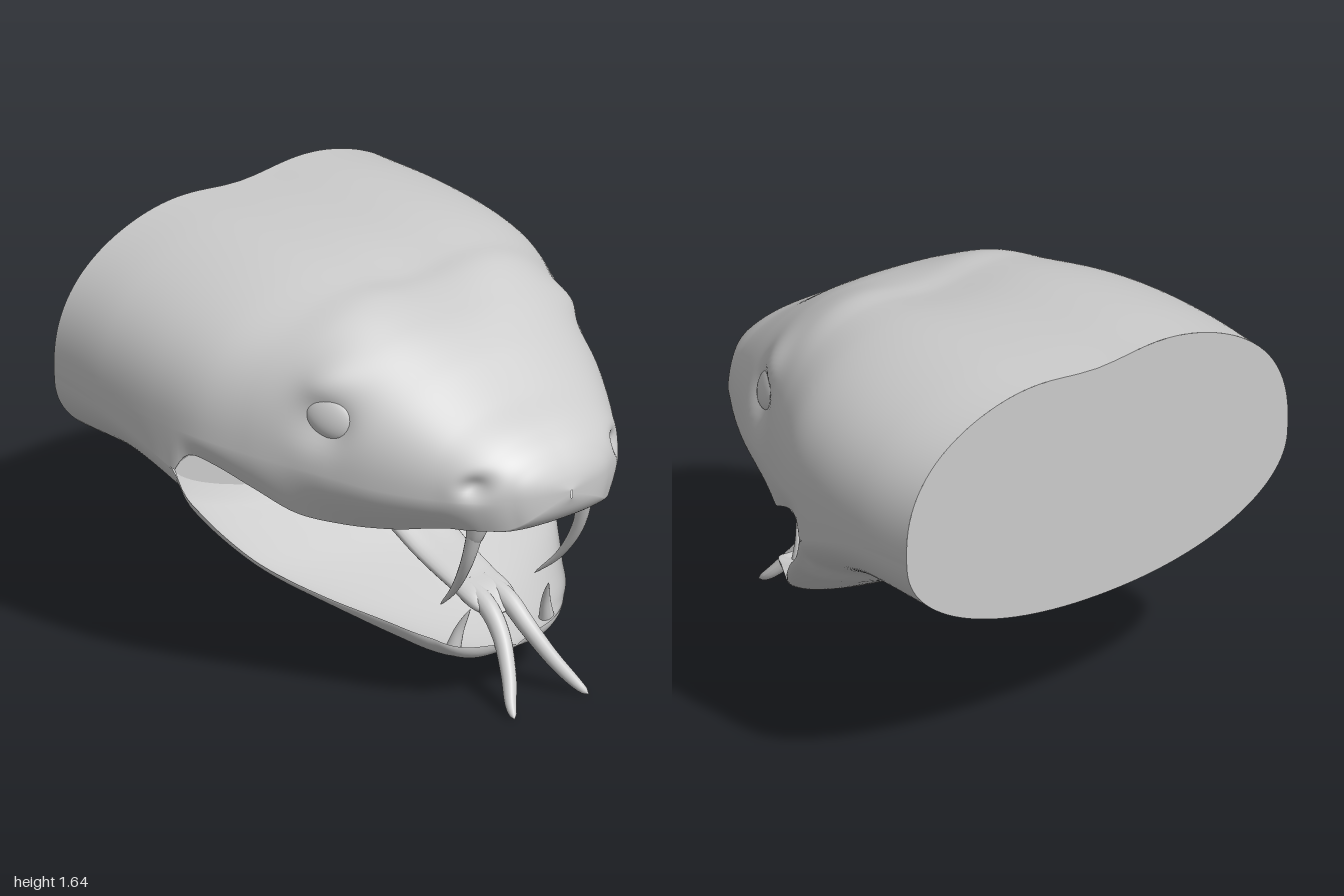
import * as THREE from 'three';
import { ParametricGeometry } from 'three/addons/geometries/ParametricGeometry.js';

const material = new THREE.MeshStandardMaterial({ color: 0xcccccc, side: THREE.DoubleSide });

// Smooth lookup of the columns of a station table whose first column is z
function stations(rows) {
  const n = rows[0].length - 1;
  const spline = new THREE.CubicInterpolant(rows.map((r) => r[0]), rows.flatMap((r) => r.slice(1)), n, new Float32Array(n));
  return (z) => [...spline.evaluate(z)];
}

// z, half width, height of widest point, top
const bodyAt = stations([
  [-1, 0.952, 1.09, 1.675],
  [-0.7, 0.965, 1.09, 1.68],
  [-0.4, 0.95, 1.08, 1.672],
  [-0.2, 0.91, 1.06, 1.658],
  [0, 0.82, 1.03, 1.638],
  [0.15, 0.745, 1.01, 1.625],
  [0.32, 0.68, 1, 1.54],
  [0.5, 0.595, 0.98, 1.42],
  [0.7, 0.475, 0.97, 1.28],
  [0.85, 0.36, 0.97, 1.185],
  [0.93, 0.26, 0.97, 1.11],
  [0.98, 0.14, 0.97, 1.03],
  [1, 0.005, 0.97, 0.975],
]);

// z, half width, height
const upperLipAt = stations([
  [-1, 0.949, 1.06],
  [-0.7, 0.962, 1.03],
  [-0.4, 0.946, 0.93],
  [-0.32, 0.932, 0.895],
  [-0.3, 0.928, 0.89],
  [-0.27, 0.915, 0.945],
  [-0.23, 0.9, 0.968],
  [-0.15, 0.86, 0.945],
  [0, 0.78, 0.87],
  [0.15, 0.69, 0.79],
  [0.3, 0.59, 0.765],
  [0.5, 0.49, 0.78],
  [0.7, 0.4, 0.825],
  [0.85, 0.32, 0.84],
  [0.93, 0.23, 0.855],
  [0.98, 0.13, 0.91],
  [1, 0.005, 0.965],
]);

const lowerLipAt = stations([
  [-0.3, 0.928, 0.89],
  [-0.27, 0.915, 0.81],
  [-0.2, 0.89, 0.735],
  [-0.1, 0.83, 0.635],
  [0, 0.75, 0.54],
  [0.2, 0.6, 0.43],
  [0.4, 0.46, 0.355],
  [0.55, 0.345, 0.295],
  [0.63, 0.21, 0.24],
  [0.67, 0.005, 0.21],
]);

// z, underside height
const chinAt = stations([[-1, 0.63], [-0.8, 0.65], [-0.6, 0.64], [-0.4, 0.57], [-0.2, 0.465], [0, 0.36], [0.2, 0.26], [0.4, 0.16], [0.55, 0.13], [0.63, 0.155], [0.67, 0.2]]);

// z, centre height, half width, half thickness
const tongueAt = stations([
  [-0.29, 0.71, 0.22, 0.045],
  [-0.15, 0.69, 0.21, 0.05],
  [0, 0.585, 0.145, 0.055],
  [0.2, 0.475, 0.125, 0.05],
  [0.4, 0.4, 0.115, 0.046],
  [0.54, 0.35, 0.103, 0.042],
  [0.585, 0.33, 0.07, 0.002],
]);

// Superelliptic arch; t runs 0..1 from +X to -X
function arch(t, X, y0, H, n) {
  const c = Math.cos(Math.PI * t), s = Math.max(0, Math.sin(Math.PI * t));
  return [X * Math.sign(c) * Math.abs(c) ** (2 / n), y0 + H * s ** (2 / n)];
}

const bump = (a, b, r) => Math.exp(-(a * a + b * b) / (r * r));
const { smoothstep } = THREE.MathUtils;

// Crown, cheeks and snout, with eye sockets, brows and nostrils pressed in
function crown(u, z) {
  const [w, ym, top] = bodyAt(z);
  const [xl, yl] = upperLipAt(z);
  const cheek = 0.17;
  const edge = Math.min(u, 1 - u) / cheek;
  let x, y;
  if (edge < 1) {
    x = Math.sign(0.5 - u) * (xl + (w - xl) * Math.sin((edge * Math.PI) / 2));
    y = yl + (ym - yl) * edge;
  } else {
    [x, y] = arch((u - cheek) / (1 - 2 * cheek), w, ym, top - ym, 2.45);
    y -= (0.05 + 0.025 * bump(z - 0.1, 0, 0.25)) * bump(x, 0, 0.26) * (1 - smoothstep(z, 0.12, 0.55));
  }
  const nostril = bump(y - 1.03, z - 0.84, 0.045) - 0.25 * bump(y - 1.03, z - 0.84, 0.08);
  const side = Math.sign(x) * Math.min(1, Math.abs(x) / 0.2);
  x -= side * (0.055 * bump(y - 1.2, z - 0.28, 0.1) - 0.03 * bump(y - 1.36, z - 0.25, 0.09) + 0.03 * nostril);
  return [x, y, z - 0.03 * nostril * Math.abs(side)];
}

// Throat and lower jaw underside, with a groove between two ridges
function underside(u, z) {
  const [xl, yl] = z <= -0.3 ? upperLipAt(z) : lowerLipAt(z);
  const [bottom] = chinAt(z);
  const [x, y] = arch(u, -xl, yl, bottom - yl, 2.1 - 0.35 * smoothstep(z, -0.9, -0.35));
  return [x, y + 0.035 * bump(x, 0, 0.12) * smoothstep(z, -1, -0.3) * Math.min(1, xl / 0.3), z];
}

// Roof of the mouth, rounding down under the snout
function palate(u, z) {
  const [xl, yl] = upperLipAt(z);
  return [...arch(u, -xl, yl, 0.1 - 0.125 * smoothstep(z, 0.6, 0.92), 2), z];
}

function mouthFloor(u, z) {
  const [xl, yl] = lowerLipAt(z);
  return [...arch(u, xl, yl, (chinAt(z)[0] - yl) * 0.68, 1.5), z];
}

function tongue(u, z) {
  const [y, w, h] = tongueAt(z);
  const a = u * 2 * Math.PI;
  return [w * Math.cos(a), y + h * Math.sin(a) - 0.015 * bump(w * Math.cos(a), 0, 0.05), z];
}

export function createModel() {
  const model = new THREE.Group();
  const add = (name, geometry) => {
    const mesh = new THREE.Mesh(geometry, material);
    mesh.name = name;
    model.add(mesh);
    return mesh;
  };

  // Skin a section rule along z, with rows closing up towards the front
  const loft = (name, section, z0, z1, slices, stacks) => {
    const g = new ParametricGeometry((u, v, p) => {
      p.set(...section(u, z1 - (z1 - z0) * (1 - v) ** 1.5));
    }, slices, stacks);
    g.computeVertexNormals();
    return add(name, g);
  };

  // Tube that tapers from r0 to r1 and rounds off at the end
  const taper = (name, points, r0, r1) => {
    const curve = new THREE.CatmullRomCurve3(points.map((p) => new THREE.Vector3(...p)));
    const seg = 28, sides = 14;
    const g = new THREE.TubeGeometry(curve, seg, 1, sides);
    const { position, normal } = g.attributes;
    const d = new THREE.Vector3();
    for (let i = 0; i < position.count; i++) {
      const t = Math.floor(i / (sides + 1)) / seg;
      const r = (r0 + (r1 - r0) * t) * Math.sqrt(1 - t ** 12);
      d.fromBufferAttribute(normal, i).multiplyScalar(r).add(curve.getPointAt(t));
      position.setXYZ(i, d.x, d.y, d.z);
    }
    g.computeVertexNormals();
    return add(name, g);
  };

  // Head shell and mouth lining
  loft('upperHead', crown, -1, 1, 120, 140);
  loft('lowerJaw', underside, -1, 0.67, 60, 100);
  loft('palate', palate, -0.3, 1, 40, 70);
  loft('mouthFloor', mouthFloor, -0.3, 0.67, 40, 60);

  // Back wall of the mouth
  add('throatWall', new ParametricGeometry((u, v, p) => {
    p.set(...mouthFloor(u, -0.3)).lerp(new THREE.Vector3(...palate(1 - u, -0.3)), 1 - v);
  }, 40, 4)).geometry.computeVertexNormals();

  // Flat cut at the back of the neck
  const outline = [];
  for (let i = 0; i < 80; i++) outline.push(crown(i / 80, -1));
  for (let i = 0; i < 60; i++) outline.push(underside(i / 60, -1));
  const cut = new THREE.ShapeGeometry(new THREE.Shape(outline.map(([x, y]) => new THREE.Vector2(x, y))));
  add('neckCut', cut.rotateY(Math.PI).translate(0, 0, -1));

  loft('tongue', tongue, -0.29, 0.585, 28, 40);

  for (const s of [1, -1]) {
    const side = s > 0 ? 'left' : 'right';
    taper(side + 'TongueFork', [[s * 0.045, 0.385, 0.42], [s * 0.053, 0.342, 0.56], [s * 0.068, 0.26, 0.655], [s * 0.115, 0.14, 0.755], [s * 0.17, 0.045, 0.835], [s * 0.19, 0.012, 0.88]], 0.046, 0.024);
    taper(side + 'Fang', [[s * 0.27, 0.88, 0.76], [s * 0.28, 0.78, 0.745], [s * 0.285, 0.64, 0.7], [s * 0.27, 0.5, 0.61], [s * 0.24, 0.385, 0.49]], 0.038, 0.006);
    taper(side + 'FangSheath', [[s * 0.27, 0.88, 0.762], [s * 0.275, 0.81, 0.752], [s * 0.28, 0.74, 0.735]], 0.056, 0.03);
    taper(side + 'LowerTooth', [[s * 0.24, 0.22, 0.565], [s * 0.22, 0.31, 0.585], [s * 0.2, 0.4, 0.625]], 0.032, 0.004);

    // Almond eye set into its socket
    const eye = add(side + 'Eye', new THREE.SphereGeometry(1, 28, 18));
    eye.scale.set(0.04, 0.085, 0.12);
    eye.position.set(s * 0.615, 1.22, 0.275);
    eye.rotation.set(0.35, -s * 0.45, s * 0.25, 'YZX');
  }
  return model;
}
